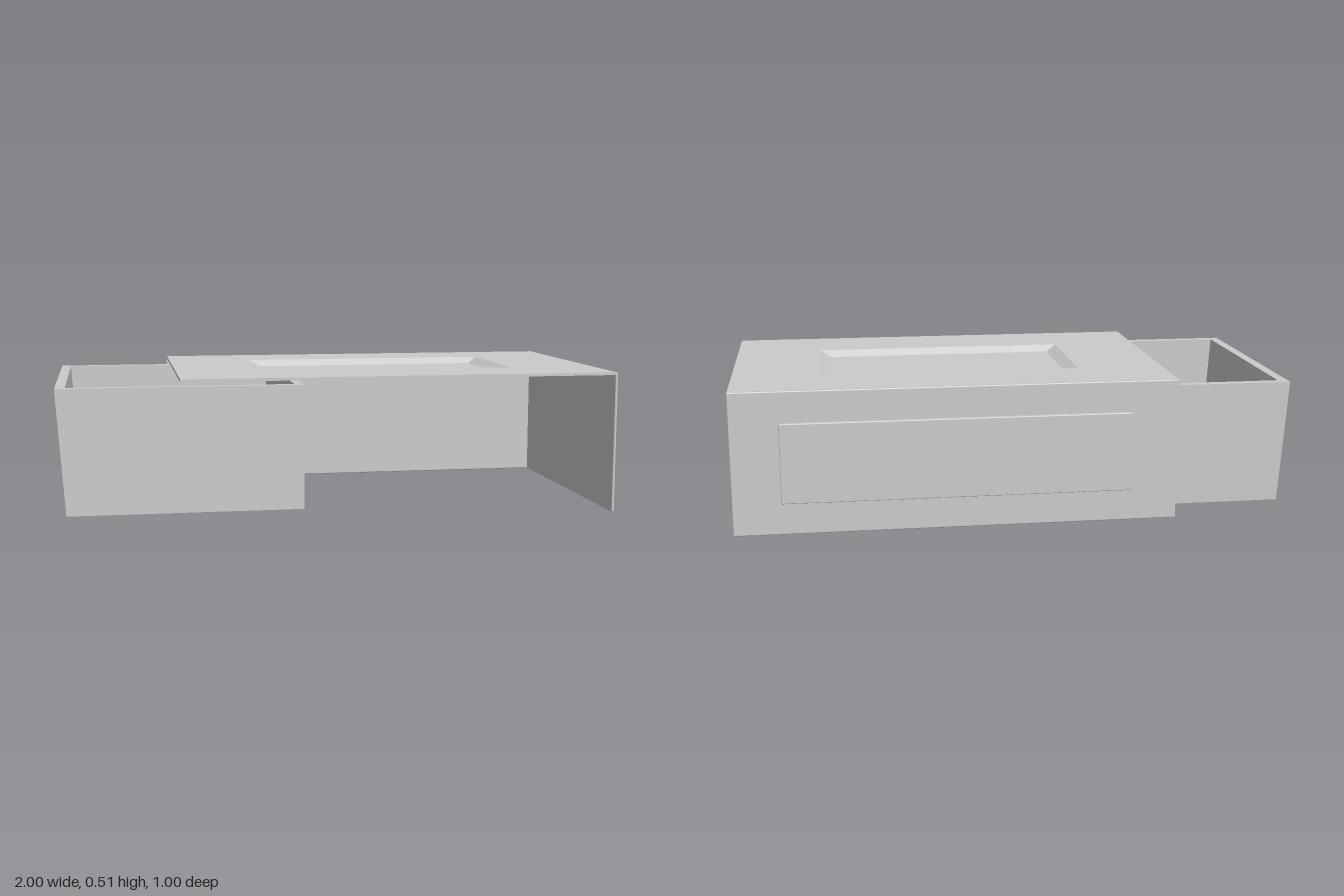
import * as THREE from 'three';
import { RoundedBoxGeometry } from 'three/addons/geometries/RoundedBoxGeometry.js';

const material = new THREE.MeshStandardMaterial({ color: 0xcccccc, side: THREE.DoubleSide });

function part(name, geometry) {
  const mesh = new THREE.Mesh(geometry, material);
  mesh.name = name;
  return mesh;
}

// Plate given by its limits on each axis
function plate(name, x0, x1, y0, y1, z0, z1, radius = 0.004) {
  const geometry = new RoundedBoxGeometry(x1 - x0, y1 - y0, z1 - z0, 2, radius);
  geometry.translate((x0 + x1) / 2, (y0 + y1) / 2, (z0 + z1) / 2);
  return part(name, geometry);
}

// Joins rectangular sections [x0, x1, z0, z1, y]; the last one is closed, the first optionally
function rectLoft(sections, capStart) {
  const rings = sections.map(([x0, x1, z0, z1, y]) =>
    [[x0, y, z1], [x1, y, z1], [x1, y, z0], [x0, y, z0]]);
  const points = [];
  const quad = (a, b, c, d) => points.push(...a, ...b, ...c, ...a, ...c, ...d);
  for (let i = 0; i < rings.length - 1; i++) {
    const lo = rings[i], hi = rings[i + 1];
    for (let j = 0; j < 4; j++) {
      const k = (j + 1) % 4;
      quad(lo[j], lo[k], hi[k], hi[j]);
    }
  }
  quad(...rings[rings.length - 1]);
  if (capStart) quad(...[...rings[0]].reverse());
  const geometry = new THREE.BufferGeometry();
  geometry.setAttribute('position', new THREE.Float32BufferAttribute(points, 3));
  geometry.computeVertexNormals();
  return geometry;
}

function rectPoints(x0, x1, y0, y1) {
  return [[x0, y0], [x1, y0], [x1, y1], [x0, y1]].map(p => new THREE.Vector2(...p));
}

export function createModel() {
  const model = new THREE.Group();
  model.name = 'slidingBox';

  // Sleeve: top, back and end plates, open at the front, bottom and other end
  const sleeve = new THREE.Group();
  sleeve.name = 'sleeve';
  const topShape = new THREE.Shape(rectPoints(-0.575, 0.995, -0.493, 0.478));
  topShape.holes.push(new THREE.Path(rectPoints(-0.26, 0.68, -0.24, 0.24)));
  const topGeometry = new THREE.ExtrudeGeometry(topShape, { depth: 0.01, bevelEnabled: false });
  topGeometry.rotateX(-Math.PI / 2).translate(0, 0.503, 0);
  sleeve.add(
    part('topPlate', topGeometry),
    plate('backPlate', -0.578, 1, 0, 0.512, -0.483, -0.473),
    plate('endPlate', 0.99, 1, 0, 0.512, -0.483, 0.498),
    plate('backRaisedPanel', -0.41, 0.83, 0.115, 0.4, -0.498, -0.478, 0.003)
  );

  // Shallow recess with sloping sides, sunk into the top plate
  sleeve.add(part('topRecess', rectLoft([
    [-0.26, 0.68, -0.24, 0.24, 0.513],
    [-0.22, 0.64, -0.21, 0.21, 0.49]
  ], false)));
  model.add(sleeve);

  // Open tray with a leaning outer end
  model.add(part('tray', rectLoft([
    [-0.97, -0.14, -0.445, 0.45, 0.04],
    [-1, -0.14, -0.445, 0.45, 0.483],
    [-0.965, -0.17, -0.412, 0.417, 0.483],
    [-0.938, -0.17, -0.412, 0.417, 0.055]
  ], true)));

  return model;
}
